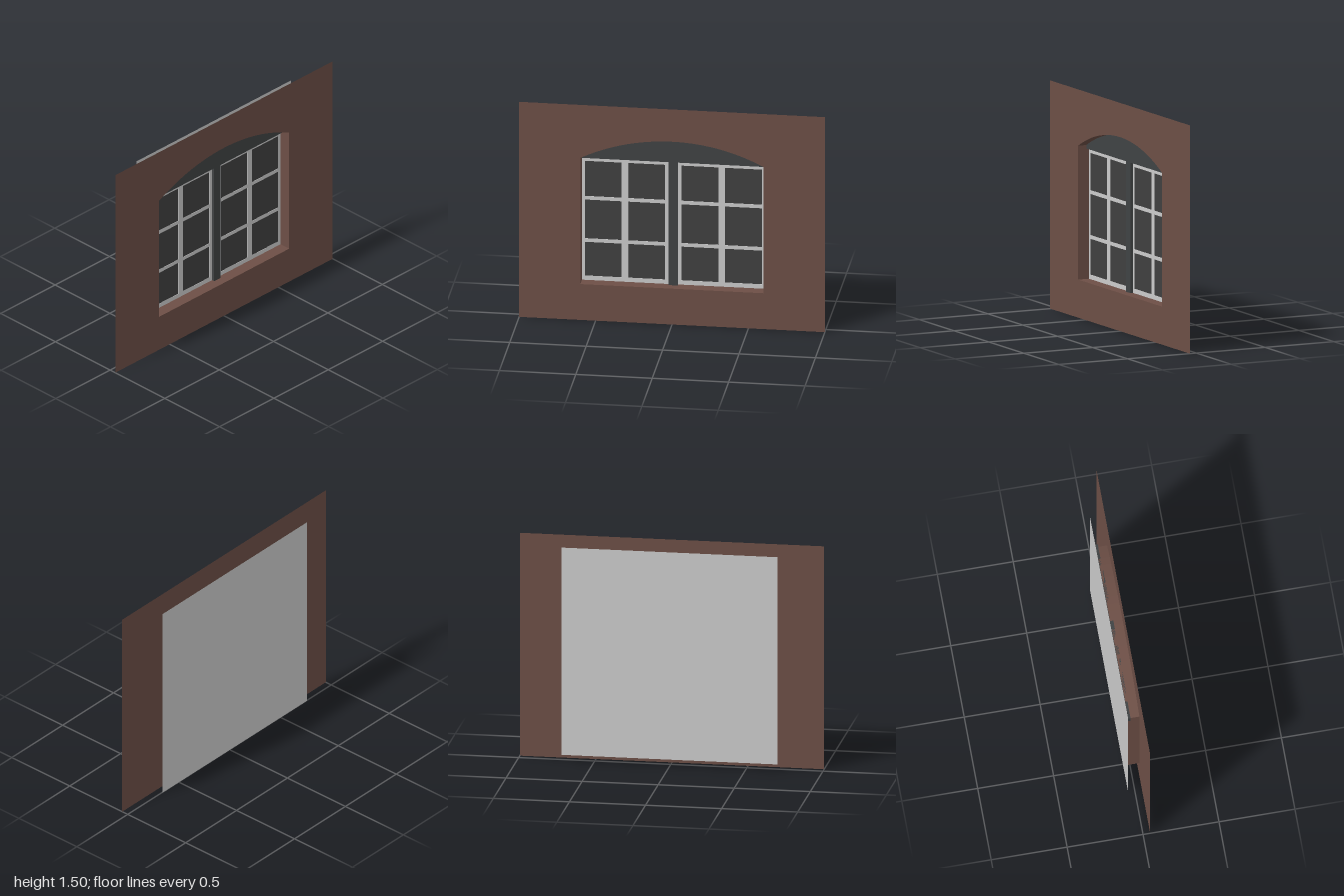
import * as THREE from 'three';

const mat = (name, color, side = THREE.FrontSide) => {
  const m = new THREE.MeshStandardMaterial({ color, side });
  m.name = name;
  return m;
};

export function createModel() {
  const group = new THREE.Group();
  const brown = mat('brown wall', 0x6d4f46, THREE.DoubleSide);
  const dark = mat('dark frame', 0x404344);
  const glass = mat('dark glass', 0x404040);
  const light = mat('light grey', 0xcccccc, THREE.DoubleSide);

  const add = (name, geometry, material, x = 0, y = 0, z = 0) => {
    const mesh = new THREE.Mesh(geometry, material);
    mesh.name = name;
    mesh.position.set(x, y, z);
    group.add(mesh);
    return mesh;
  };
  const rect = (Type, x0, y0, x1, y1) => new Type([
    [x0, y0], [x1, y0], [x1, y1], [x0, y1],
  ].map(([x, y]) => new THREE.Vector2(x, y)));

  const WALL_Z = 0.047, GLASS_Z = -0.034, BACK_Z = -0.047;
  const HALF = 0.6, SILL = 0.25, STEPS = 24;

  // Opening outline: flat sill, straight jambs and a shallow arch
  const archY = (x) => Math.sqrt(1.314 ** 2 - x * x) - 0.039;
  const arch = [];
  for (let i = 0; i <= STEPS; i++) {
    const x = HALF - (2 * HALF * i) / STEPS;
    arch.push(new THREE.Vector2(x, archY(x)));
  }
  const opening = [new THREE.Vector2(-HALF, SILL), new THREE.Vector2(HALF, SILL), ...arch];

  // Thin wall with the arched opening
  const wall = rect(THREE.Shape, -1, 0, 1, 1.5);
  wall.holes.push(new THREE.Path(opening));
  add('wall', new THREE.ShapeGeometry(wall), brown, 0, 0, WALL_Z);

  // Reveal lining the opening, facing inwards
  const pos = [];
  opening.forEach((a, i) => {
    const b = opening[(i + 1) % opening.length];
    pos.push(a.x, a.y, WALL_Z, b.x, b.y, GLASS_Z, b.x, b.y, WALL_Z);
    pos.push(a.x, a.y, WALL_Z, a.x, a.y, GLASS_Z, b.x, b.y, GLASS_Z);
  });
  const reveal = new THREE.BufferGeometry();
  reveal.setAttribute('position', new THREE.Float32BufferAttribute(pos, 3));
  reveal.computeVertexNormals();
  add('reveal', reveal, brown);

  // Glass slab behind the opening
  add('glass', new THREE.BoxGeometry(1.22, 1.03, 0.011), glass, 0, 0.765, -0.0395);

  // Arched head board, with squared ends running past the jambs
  const head = new THREE.Shape([
    new THREE.Vector2(-0.61, 1.107), new THREE.Vector2(0.61, 1.107),
    new THREE.Vector2(0.61, 1.155),
    ...arch.map((p) => new THREE.Vector2(p.x, Math.max(p.y, 1.155))),
    new THREE.Vector2(-0.61, 1.155),
  ]);
  add('archedHead', new THREE.ExtrudeGeometry(head, { depth: 0.031, bevelEnabled: false }),
    dark, 0, 0, -0.044);

  // Central post
  add('centralPost', new THREE.BoxGeometry(0.06, 1.028, 0.031), dark, 0, 0.761, -0.0282);

  // Glazing bars: one thin plate with six pane holes for each sash
  const rows = [[0.28, 0.515], [0.54, 0.81], [0.835, 1.08]];
  const sashes = {
    rightSash: [-0.6, -0.03, [[-0.58, -0.34], [-0.297, -0.055]]],
    leftSash: [0.03, 0.6, [[0.05, 0.295], [0.335, 0.577]]],
  };
  for (const [name, [x0, x1, columns]] of Object.entries(sashes)) {
    const sash = rect(THREE.Shape, x0, SILL, x1, 1.12);
    for (const [a, b] of columns) {
      for (const [c, d] of rows) sash.holes.push(rect(THREE.Path, a, c, b, d));
    }
    add(name, new THREE.ExtrudeGeometry(sash, { depth: 0.002, bevelEnabled: false }),
      light, 0, 0, GLASS_Z);
  }

  // Plain backing sheet
  add('backingSheet', new THREE.PlaneGeometry(1.42, 1.395), light, 0, 0.742, BACK_Z);

  return group;
}
